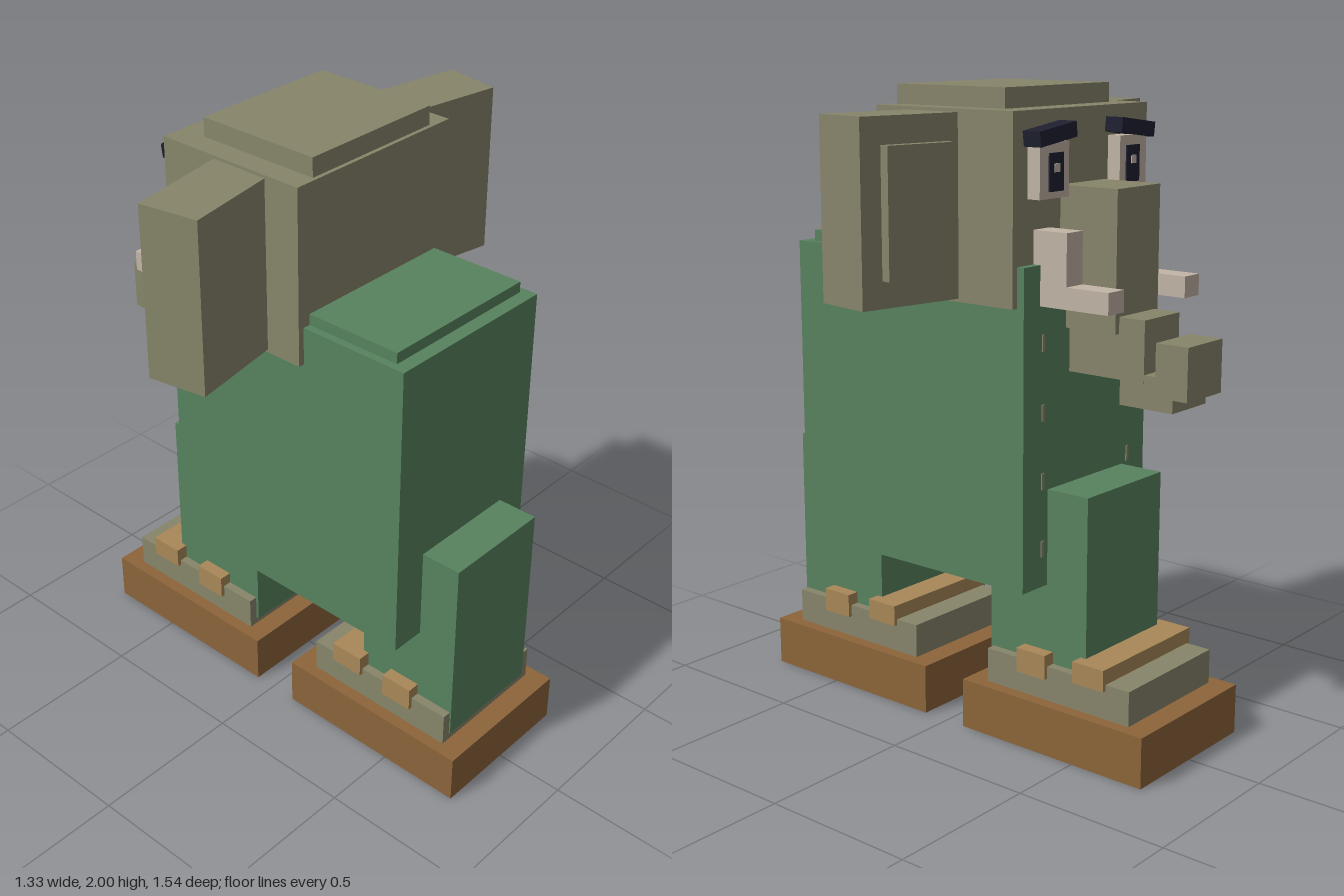
import * as THREE from 'three';

const mat = (name, color) => {
  const m = new THREE.MeshStandardMaterial({ color });
  m.name = name;
  return m;
};

export function createModel() {
  const hide = mat('olive hide', 0x87856a);
  const green = mat('green cloth', 0x57825e);
  const brown = mat('brown sole', 0x8c643a);
  const tan = mat('tan strap', 0xa98858);
  const ivory = mat('ivory', 0xc2b5a6);
  const navy = mat('dark navy', 0x1e2030);

  const model = new THREE.Group();
  model.name = 'elephant';

  // Box given by its extents along each axis
  const box = (name, m, [x0, x1], [y0, y1], [z0, z1], parent = model) => {
    const mesh = new THREE.Mesh(new THREE.BoxGeometry(x1 - x0, y1 - y0, z1 - z0), m);
    mesh.position.set((x0 + x1) / 2, (y0 + y1) / 2, (z0 + z1) / 2);
    mesh.name = name;
    parent.add(mesh);
    return mesh;
  };
  const wide = (w) => [-w, w];
  const sided = (s, a, b) => (s > 0 ? [a, b] : [-b, -a]);

  // Body and raised back
  box('body', green, wide(0.305), [0.52, 1.5], [-0.35, 0.57]);
  box('backPanel', green, wide(0.28), [1.5, 1.535], [-0.3, 0.525]);

  // Head and raised crown
  box('head', hide, wide(0.325), [1.38, 1.94], [-0.325, 0.2]);
  box('crown', hide, wide(0.25), [1.94, 2.0], [-0.235, 0.187]);

  // Stepped trunk curling up at the tip
  box('trunkTop', hide, wide(0.106), [1.3, 1.72], [-0.53, -0.325]);
  box('trunkMiddle', hide, wide(0.088), [1.165, 1.35], [-0.62, -0.35]);
  box('trunkLower', hide, wide(0.087), [1.09, 1.19], [-0.72, -0.535]);
  box('trunkTip', hide, wide(0.089), [1.13, 1.29], [-0.77, -0.66]);

  for (const s of [1, -1]) {
    // Ear with inner panel, swept back
    const ear = new THREE.Group();
    ear.name = s > 0 ? 'leftEar' : 'rightEar';
    ear.position.set(s * 0.451, 1.66, 0);
    ear.rotation.y = -s * THREE.MathUtils.degToRad(10);
    box('earFlap', hide, wide(0.2), wide(0.27), wide(0.097), ear);
    box('earPanel', hide, sided(s, -0.105, 0.13), wide(0.19), [-0.13, -0.095], ear);
    model.add(ear);

    // Eye, pupil, glint and tilted brow
    box('eye', ivory, sided(s, 0.125, 0.26), [1.69, 1.85], [-0.37, -0.325]);
    box('pupil', navy, sided(s, 0.155, 0.22), [1.71, 1.82], [-0.375, -0.37]);
    box('glint', ivory, [s * 0.188 - 0.012, s * 0.188 + 0.012], [1.765, 1.79], [-0.378, -0.375]);
    const brow = box('brow', navy, sided(s, 0.11, 0.28), [1.85, 1.895], [-0.387, -0.325]);
    brow.rotation.z = -s * 0.13;

    // Tusk
    box('tuskRoot', ivory, sided(s, 0.155, 0.23), [1.38, 1.6], [-0.445, -0.325]);
    box('tuskTip', ivory, sided(s, 0.155, 0.23), [1.38, 1.445], [-0.593, -0.445]);

    // Row of stitches on the chest
    for (let i = 0; i < 4; i++) {
      const y = 0.64 + i * 0.21;
      box('stitch', hide, sided(s, 0.209, 0.221), [y - 0.025, y + 0.025], [-0.354, -0.35]);
    }
  }

  // Legs with sandals
  const feet = [
    { name: 'frontLeg', leg: [-0.5, -0.13], foot: [-0.68, -0.14], sole: [-0.755, -0.07], toe: -0.595, heel: -0.375 },
    { name: 'rearLeg', leg: [0.345, 0.705], foot: [0.165, 0.7], sole: [0.09, 0.772], toe: 0.25, heel: 0.46 },
  ];
  for (const f of feet) {
    box(f.name, green, wide(0.188), [0.185, 0.82], f.leg);
    box('foot', hide, wide(0.217), [0.16, 0.27], f.foot);
    box('sole', brown, wide(0.257), [0, 0.16], f.sole);
    box('toeStrap', tan, wide(0.23), [0.25, 0.318], [f.toe, f.toe + 0.115]);
    box('heelStrap', tan, wide(0.23), [0.23, 0.308], [f.heel, f.heel + 0.11]);
  }

  return model;
}
